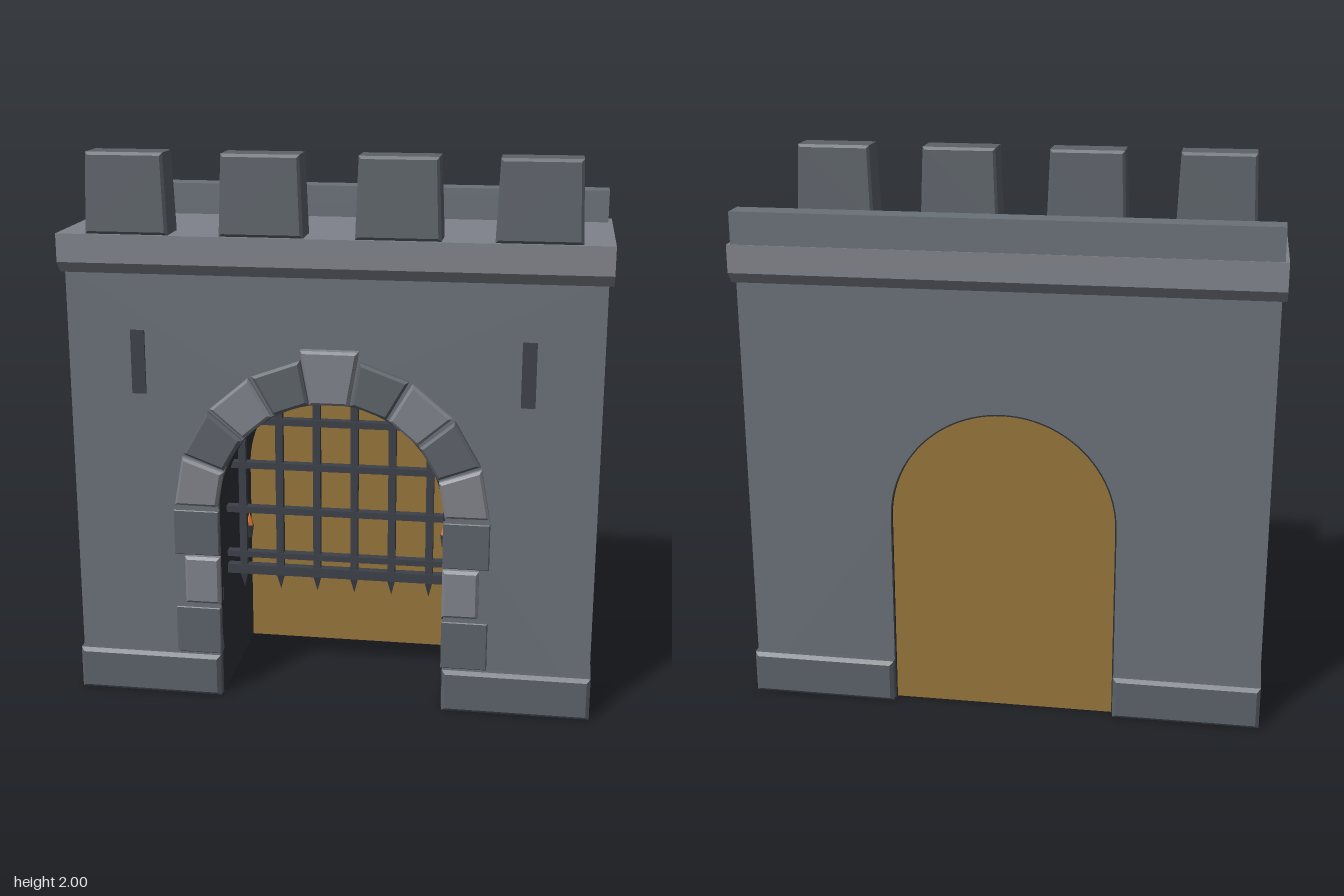
import * as THREE from 'three';

const mat = (color, side = THREE.FrontSide) =>
  new THREE.MeshStandardMaterial({ color, side, flatShading: true });
const WALL = mat(0x6a7078), DARK = mat(0x5c6269), LIGHT = mat(0x7f828a);
const IRON = mat(0x3c4048), INNER = mat(0x2e3036, THREE.DoubleSide);
const WOOD = mat(0x96753a), FLAME = mat(0xd9712b);

const R = 0.41, SPRING = 0.73; // archway radius and springing height

function add(parent, name, geometry, material, x = 0, y = 0, z = 0) {
  const mesh = new THREE.Mesh(geometry, material);
  mesh.name = name;
  mesh.position.set(x, y, z);
  parent.add(mesh);
  return mesh;
}

const box = (w, h, d) => new THREE.BoxGeometry(w, h, d);
const outline = (pts) => new THREE.Shape(pts.map(([x, y]) => new THREE.Vector2(x, y)));

// Polygon in the xy plane, chamfered, filling z0..z1
function block(pts, z0, z1, b) {
  const g = new THREE.ExtrudeGeometry(outline(pts), {
    depth: z1 - z0 - 2 * b, bevelEnabled: true, bevelSegments: 1,
    bevelSize: b, bevelOffset: -b, bevelThickness: b,
  });
  return g.translate(0, 0, z0 + b);
}
const rect = (x0, x1, y0, y1) => [[x0, y0], [x1, y0], [x1, y1], [x0, y1]];

// Archway outline with the given radius, closed along the ground
function archShape(r) {
  const s = new THREE.Shape();
  s.moveTo(-r, 0);
  s.lineTo(r, 0);
  s.lineTo(r, SPRING);
  s.absarc(0, SPRING, r, 0, Math.PI, false);
  s.closePath();
  return s;
}

function buildWall(group) {
  // Wall with the archway cut through it
  const s = new THREE.Shape();
  s.moveTo(-0.94, 0.01);
  s.lineTo(-R, 0.01);
  s.lineTo(-R, SPRING);
  s.absarc(0, SPRING, R, Math.PI, 0, true);
  s.lineTo(R, 0.01);
  s.lineTo(0.94, 0.01);
  s.lineTo(0.94, 1.6);
  s.lineTo(-0.94, 1.6);
  s.closePath();
  const wall = new THREE.ExtrudeGeometry(s, { depth: 0.57, bevelEnabled: false, curveSegments: 24 });
  add(group, 'wall', wall, WALL, 0, 0, -0.285);

  // Dark lining of the passage
  const l = new THREE.Shape();
  const r = R - 0.005;
  l.moveTo(-R, 0);
  l.lineTo(-r, 0);
  l.lineTo(-r, SPRING);
  l.absarc(0, SPRING, r, Math.PI, 0, true);
  l.lineTo(r, 0);
  l.lineTo(R, 0);
  l.lineTo(R, SPRING);
  l.absarc(0, SPRING, R, 0, Math.PI, false);
  l.closePath();
  const lining = new THREE.ExtrudeGeometry(l, { depth: 0.57, bevelEnabled: false, curveSegments: 24 });
  add(group, 'passageLining', lining, INNER, 0, 0, -0.285);

  // Panel closing the back of the passage
  const panel = new THREE.ExtrudeGeometry(archShape(r), { depth: 0.02, bevelEnabled: false, curveSegments: 24 });
  add(group, 'backPanel', panel, WOOD, 0, 0, -0.272);

  // Plinths and arrow slits on both sides
  for (const side of [-1, 1]) {
    const plinth = block(rect(-0.267, 0.267, 0, 0.16), -0.32, 0.32, 0.013);
    add(group, 'plinth', plinth, DARK, side * 0.677, 0, 0);
    add(group, 'arrowSlit', box(0.05, 0.23, 0.02), IRON, side * 0.687, 1.265, 0.282);
  }
}

function buildTop(group) {
  // Cornice: side profile run along x
  const profile = outline([
    [-0.285, 1.58], [0.285, 1.58], [0.32, 1.62], [0.32, 1.72], [-0.32, 1.72], [-0.32, 1.62],
  ]);
  const cornice = new THREE.ExtrudeGeometry(profile, { depth: 1.914, bevelEnabled: false });
  cornice.translate(0, 0, -0.957).rotateY(-Math.PI / 2);
  add(group, 'cornice', cornice, LIGHT);

  add(group, 'rearParapet', box(1.885, 0.115, 0.095), WALL, 0, 1.777, -0.27);

  // Merlons, narrowing slightly upwards
  for (const x of [-0.706, -0.235, 0.235, 0.706]) {
    const g = block(rect(-0.146, 0.146, 0, 0.28), -0.072, 0.072, 0.01);
    const p = g.attributes.position;
    for (let i = 0; i < p.count; i++) {
      const t = p.getY(i) / 0.28;
      p.setX(i, p.getX(i) * (1 - 0.075 * t));
      p.setZ(i, p.getZ(i) * (1 - 0.07 * t));
    }
    g.computeVertexNormals();
    add(group, 'merlon', g, DARK, x, 1.72, 0.245);
  }
}

function buildArchStones(group) {
  // Jamb blocks
  const rows = [[0.17, 0.35, 0.57, DARK, 0.003], [0.365, 0.545, 0.535, LIGHT, 0.01], [0.555, 0.725, 0.57, DARK, 0.003]];
  for (const [y0, y1, x1, m, b] of rows) {
    for (const side of [-1, 1]) {
      const w = (x1 - 0.405) / 2;
      add(group, 'jambStone', block(rect(-w, w, y0, y1), 0.25, 0.314, b), m, side * (0.405 + w), 0, 0);
    }
  }
  // Ring of nine wedge stones, the keystone larger
  for (let i = -4; i <= 4; i++) {
    const key = i === 0;
    const half = THREE.MathUtils.degToRad(key ? 9.7 : 9.3);
    const r0 = 0.41, r1 = key ? 0.605 : 0.567;
    const at = (r, a) => [r * Math.sin(a), r * Math.cos(a)];
    const pts = [at(r0, -half), at(r0, half), at(r1, half), at(r1, -half)];
    const stone = add(group, key ? 'keystone' : 'archStone',
      block(pts, 0.25, key ? 0.324 : 0.312, 0.01), i % 2 ? DARK : LIGHT, 0, 0.735, 0);
    stone.rotation.z = -i * Math.PI / 9;
  }
}

function buildPortcullis(group) {
  const gate = new THREE.Group();
  gate.name = 'portcullis';
  gate.position.z = 0.16;
  group.add(gate);
  // Upright bars follow the arch and end in spikes
  for (let i = 0; i < 6; i++) {
    const x = (i - 2.5) * 0.138;
    const top = SPRING + Math.sqrt(R * R - x * x);
    add(gate, 'uprightBar', box(0.027, top - 0.44, 0.027), IRON, x, (top + 0.44) / 2, 0);
    const spike = new THREE.ConeGeometry(0.02, 0.06, 4).rotateY(Math.PI / 4).rotateX(Math.PI);
    add(gate, 'spike', spike, IRON, x, 0.41, 0);
  }
  // Cross bars
  for (const [y, h] of [[0.455, 0.035], [0.515, 0.022], [0.69, 0.024], [0.862, 0.024], [1.03, 0.024]]) {
    const rise = Math.max(0, y - SPRING);
    const half = Math.sqrt(R * R - rise * rise);
    add(gate, 'crossBar', box(2 * half, h, 0.034), IRON, 0, y, 0);
  }
}

function buildTorches(group) {
  for (const side of [-1, 1]) {
    const torch = new THREE.Group();
    torch.name = 'torch';
    torch.position.set(side * 0.38, 0, -0.1);
    group.add(torch);
    add(torch, 'torchBracket', box(0.04, 0.014, 0.014), IRON, side * 0.012, 0.49, 0);
    add(torch, 'torchCup', new THREE.CylinderGeometry(0.018, 0.01, 0.05, 6), IRON, 0, 0.505, 0);
    add(torch, 'torchFlame', new THREE.ConeGeometry(0.016, 0.05, 6), FLAME, 0, 0.555, 0);
  }
}

export function createModel() {
  const group = new THREE.Group();
  group.name = 'gatehouse';
  buildWall(group);
  buildTop(group);
  buildArchStones(group);
  buildPortcullis(group);
  buildTorches(group);
  return group;
}
